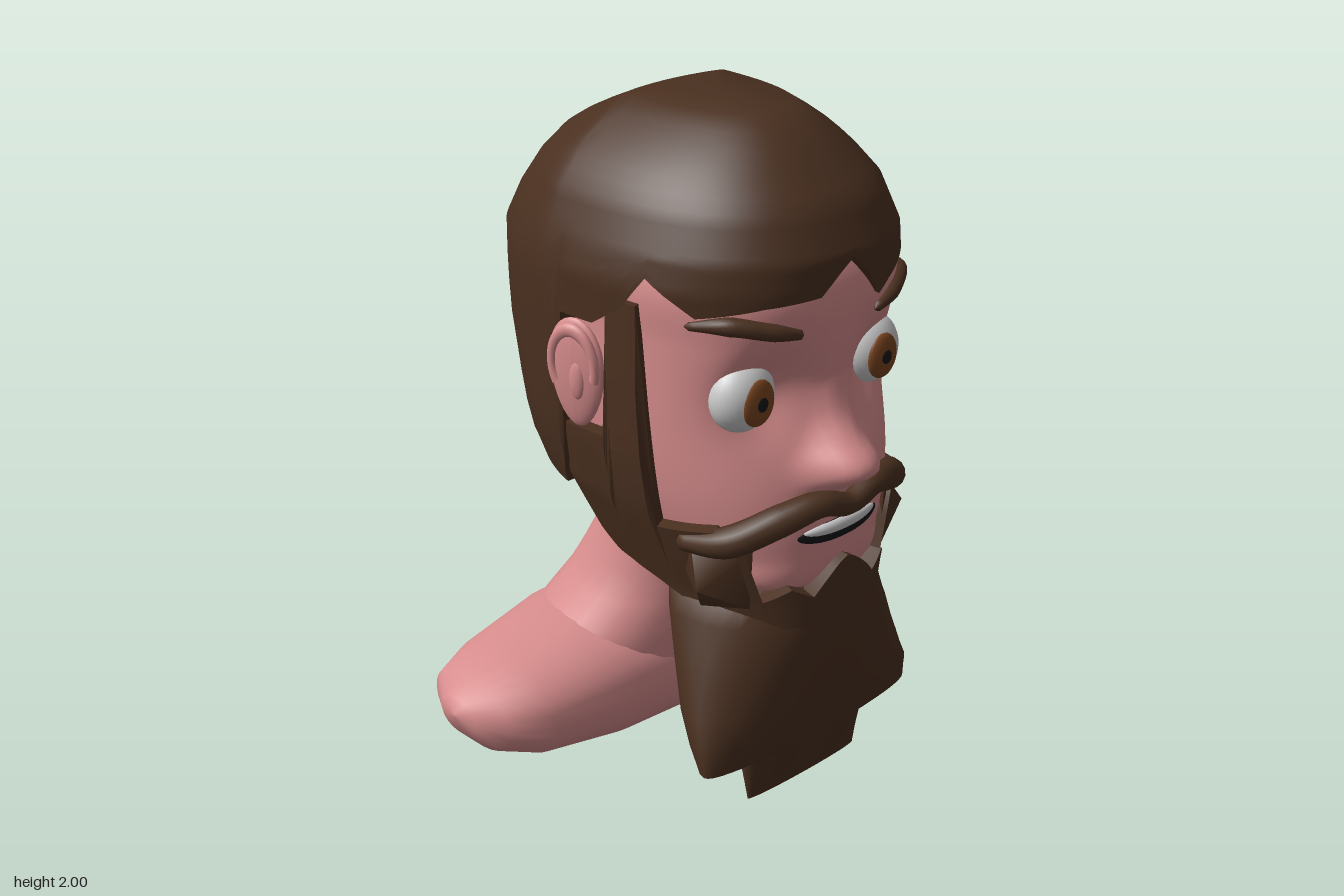
import * as THREE from 'three';
import { toCreasedNormals } from 'three/addons/utils/BufferGeometryUtils.js';
import { ConvexGeometry } from 'three/addons/geometries/ConvexGeometry.js';

const mat = (color) => new THREE.MeshStandardMaterial({ color, side: THREE.DoubleSide });
const skin = mat(0xd98e8e), hairMat = mat(0x4a3020), white = mat(0xdcdcdc);
const brown = mat(0x7a4520), black = mat(0x151515);
const RAD = Math.PI / 180;

// Interpolates the rows of a table keyed by its first column.
function sample(t, key, smooth = false) {
  let i = 0;
  while (i < t.length - 2 && key > t[i + 1][0]) i++;
  const a = t[i], b = t[i + 1], h = b[0] - a[0];
  const s = THREE.MathUtils.clamp((key - a[0]) / h, 0, 1);
  const slope = (n, k) => {
    const p = t[Math.max(n - 1, 0)], q = t[Math.min(n + 1, t.length - 1)];
    return (q[k] - p[k]) / (q[0] - p[0]);
  };
  return a.map((_, k) => {
    if (!smooth) return a[k] + (b[k] - a[k]) * s;
    const s2 = s * s, s3 = s2 * s;
    return (2 * s3 - 3 * s2 + 1) * a[k] + (s3 - 2 * s2 + s) * h * slope(i, k)
      + (3 * s2 - 2 * s3) * b[k] + (s3 - s2) * h * slope(i + 1, k);
  });
}

// Surface from a grid of points; u runs round, v runs along.
function grid(nu, nv, point, wrap = true) {
  const cols = wrap ? nu : nu + 1, pos = [], idx = [];
  for (let j = 0; j <= nv; j++)
    for (let i = 0; i < cols; i++) pos.push(...point(i / nu, j));
  for (let j = 0; j < nv; j++)
    for (let i = 0; i < nu; i++) {
      const i2 = wrap ? (i + 1) % nu : i + 1;
      const a = j * cols + i, b = j * cols + i2, c = b + cols, d = a + cols;
      idx.push(a, b, c, a, c, d);
    }
  const g = new THREE.BufferGeometry();
  g.setAttribute('position', new THREE.Float32BufferAttribute(pos, 3));
  g.setIndex(idx);
  g.computeVertexNormals();
  return g;
}

// Point on a horizontal section [y, halfWidth, zFront, zBack] at angle a from the front;
// c is the z of its widest line.
function onSection([y, rx, zf, zb], a, c, p) {
  const pw = (n) => Math.sign(n) * Math.abs(n) ** (2 / p);
  const cs = pw(Math.cos(a));
  return [rx * pw(Math.sin(a)), y, c + (cs > 0 ? zf - c : c - zb) * cs];
}

// Closed stack of horizontal sections; a fifth column may give the z of the widest line.
function tower(sections, nu, p, adjust = (q) => q) {
  const n = sections.length;
  return grid(nu, n + 1, (u, j) => {
    const s = sections[THREE.MathUtils.clamp(j - 1, 0, n - 1)];
    const c = s[4] ?? (s[2] + s[3]) / 2;
    if (j === 0 || j === n + 1) return [0, s[0], (s[2] + s[3]) / 2];
    return adjust(onSection(s, u * Math.PI * 2, c, p));
  });
}

// Tapered strand along points [x, y, z, radius].
function strand(pts, steps) {
  const curve = new THREE.CatmullRomCurve3(pts.map((q) => new THREE.Vector3(q[0], q[1], q[2])));
  const radii = pts.map((q, i) => [i / (pts.length - 1), q[3]]);
  return grid(14, steps, (u, j) => {
    const t = j / steps, T = curve.getTangent(t);
    const B = new THREE.Vector3(0, 0, 1).addScaledVector(T, -T.z).normalize();
    const N = B.clone().cross(T);
    const r = j === 0 || j === steps ? 0 : sample(radii, t)[1], f = u * Math.PI * 2;
    return curve.getPoint(t).addScaledVector(N, r * Math.cos(f)).addScaledVector(B, r * Math.sin(f)).toArray();
  });
}

const HEAD = [[.7, .2, .5, .3], [.74, .3, .545, .2], [.85, .345, .565, 0], [1, .385, .56, -.1],
  [1.2, .41, .53, -.3], [1.45, .422, .545, -.35], [1.6, .43, .535, -.35], [1.78, .37, .44, -.3]];
const NOSE = [[1, 0, .06], [1.03, .045, .1], [1.07, .11, .105], [1.11, .115, .1], [1.16, .075, .075],
  [1.22, .038, .055], [1.32, 0, .06]];
const HEAD_C = .05, HEAD_P = 2.6;

// Nose bump and eye sockets.
function relief(x, y) {
  const [, h, w] = sample(NOSE, y, true), ax = Math.abs(x);
  return h * Math.exp(-((ax / w) ** 2.8)) - .085 * Math.exp(-(((ax - .19) / .11) ** 2) - ((y - 1.3) / .125) ** 2);
}
function faceZ(x, y) {
  const [, rx, zf] = sample(HEAD, y, true);
  return HEAD_C + (zf - HEAD_C) * Math.max(0, 1 - Math.abs(x / rx) ** HEAD_P) ** (1 / HEAD_P) + relief(x, y);
}

// Flattened ellipsoid bent to follow the face.
function facePatch(x, y, rx, ry, rz) {
  const g = new THREE.SphereGeometry(1, 32, 16).scale(rx, ry, rz).translate(x, y, 0);
  const p = g.attributes.position;
  for (let i = 0; i < p.count; i++) p.setZ(i, p.getZ(i) + faceZ(p.getX(i), p.getY(i)));
  g.computeVertexNormals();
  return g;
}

export function createModel() {
  const root = new THREE.Group();
  const add = (name, geo, material, parent = root) => {
    const m = new THREE.Mesh(geo, material);
    m.name = name;
    parent.add(m);
    return m;
  };
  const ball = (rx, ry, rz) => new THREE.SphereGeometry(1, 28, 18).scale(rx, ry, rz);

  // Shoulders: sections along x as [x, yLow, yHigh, zFront, zBack]
  const half = [[0, .005, .46, .05, -.515], [.3, .025, .45, .05, -.5], [.6, .1, .405, .04, -.43],
    [.73, .16, .375, -.01, -.36], [.785, .22, .33, -.1, -.26], [.8, .28, .28, -.18, -.18]];
  const span = [...half.slice(1).reverse().map(([x, ...r]) => [-x, ...r]), ...half];
  add('shoulders', grid(28, span.length - 1, (u, j) => {
    const [x, y0, y1, zf, zb] = span[j], a = u * Math.PI * 2;
    const pw = (n) => Math.sign(n) * Math.abs(n) ** .9;
    return [x, (y0 + y1) / 2 + (y1 - y0) / 2 * pw(Math.cos(a)), (zf + zb) / 2 + (zf - zb) / 2 * pw(Math.sin(a))];
  }), skin);

  // Neck, leaning forward towards the head
  add('neck', tower([[.2, .46, .04, -.5], [.33, .45, .055, -.495], [.42, .39, .07, -.465], [.5, .315, .085, -.42],
    [.6, .275, .1, -.365], [.73, .25, .115, -.29], [.9, .235, .12, -.21], [1.1, .23, .1, -.2]], 32, 2.2), skin);

  // Head with nose
  const rows = Array.from({ length: 70 }, (_, i) => [...sample(HEAD, .7 + 1.08 * i / 69, true), HEAD_C]);
  rows.forEach((r) => { r[4] = Math.max(HEAD_C, r[3]); });
  add('head', tower(rows, 128, HEAD_P, ([x, y, z]) => [x, y, z > HEAD_C ? z + relief(x, y) : z]), skin);

  // Hair cap with a jagged lower edge given as [degrees from front, y]
  const HAIR = [[.84, .37, .5, -.45], [.97, .425, .5, -.57], [1.1, .45, .52, -.61], [1.36, .47, .54, -.66],
    [1.6, .482, .57, -.65], [1.68, .46, .575, -.605], [1.8, .41, .525, -.5], [1.88, .345, .45, -.41],
    [1.95, .26, .38, -.26], [2, .18, .3, -.13]];
  const FRINGE = [[-63, 1.63], [-48, 1.54], [-27, 1.57], [-9, 1.58], [0, 1.67], [12, 1.53], [18, 1.56], [36, 1.61],
    [51, 1.59], [63, 1.63]];
  const SIDES = [[63, 1.63], [69, 1.54], [78, 1.47], [87, 1.47], [90, 1], [96, .91], [120, .93], [135, .84],
    [150, .92], [180, .97]];
  const LOW = 10, HR = 20, BAND = 1.7;
  add('hair', toCreasedNormals(grid(120, HR, (u, j) => {
    const deg = u > .5 ? u * 360 - 360 : u * 360;
    const low = (Math.abs(deg) < 63 ? sample(FRINGE, deg) : sample(SIDES, Math.abs(deg)))[1];
    if (j === HR) return [0, 2, .08];
    const y = j <= LOW ? low + (BAND - low) * Math.max(0, j - 1) / (LOW - 1)
      : BAND + (2 - BAND) * (j - LOW) / (HR - 1 - LOW);
    const q = onSection(sample(HAIR, y), deg * RAD, -.1, Math.abs(deg) < 90 ? 2.4 : 1.7);
    if (j > 0) return q;
    const k = low < 1.2 ? .3 : .87;
    return [q[0] * k, low + .02, -.1 + (q[2] + .1) * k];
  }), .8), hairMat);

  // Jaw beard and sideburns: a shell around the face between two edge lines
  const JAW = [[.6, .32, .582, .06], [.7, .34, .587, -.1], [.8, .375, .588, -.2], [.95, .425, .588, -.3],
    [1.1, .448, .58, -.3], [1.3, .455, .56, -.3], [1.55, .452, .56, -.3]];
  const TOP = [[0, .81], [14, .715], [24, .75], [38, .71], [42, .89], [50, .94], [74, .91], [76, 1.55], [86, 1.55],
    [88, 1.14], [112, 1.12]];
  const BOTTOM = [[0, .62], [60, .63], [86, .72], [100, .8], [112, .95]];
  const JR = 16;
  add('jawBeard', toCreasedNormals(grid(112, JR, (u, j) => {
    const deg = -112 + 224 * u, ad = Math.abs(deg);
    const y0 = sample(BOTTOM, ad)[1], y1 = sample(TOP, ad)[1];
    const t = THREE.MathUtils.clamp((j - 1) / (JR - 2), 0, 1);
    const [x, y, z] = onSection(sample(JAW, y0 + (y1 - y0) * t), deg * RAD, HEAD_C, HEAD_P);
    const k = j === 0 || j === JR ? .89 : 1;
    return [x * k, y, HEAD_C + (z - HEAD_C) * k];
  }, false), .8), hairMat);

  // Long wedge beard: side edges swing forward towards a narrow tongue at the bottom
  add('longBeard', toCreasedNormals(tower([[.03, .22, .445, .415, .43], [.19, .24, .505, .31, .43],
    [.2, .41, .505, .31, .45], [.27, .42, .525, .26, .44], [.36, .405, .545, .2, .39], [.5, .375, .565, .17, .32],
    [.62, .34, .58, .14, .25], [.7, .315, .578, .12, .22], [.76, .26, .45, .13, .2]], 40, 2.1), .7), hairMat);

  // Moustache, its ends following the lower edge of the cheeks
  const side = [[.1, .995, .575, .038], [.21, .965, .53, .046], [.32, .905, .44, .045], [.375, .88, .3, .025]];
  add('moustache', strand([...side.slice().reverse().map(([x, ...r]) => [-x, ...r]), [0, .968, .585, .032], ...side], 60), hairMat);

  // Mouth and upper teeth
  add('mouth', facePatch(0, .893, .155, .032, .01), black);
  add('teeth', facePatch(0, .904, .14, .02, .016), white);

  for (const s of [1, -1]) {
    const sideName = s > 0 ? 'left' : 'right';

    // Flared tuft at the jaw corner
    add(sideName + 'Tuft', toCreasedNormals(new ConvexGeometry([[.28, .92, .46], [.36, .89, .34], [.41, .78, .42],
      [.33, .68, .35], [.26, .69, .47], [.26, .87, .48], [.32, .78, .26]].map(([x, y, z]) => new THREE.Vector3(s * x, y, z))), 1), hairMat);

    // Eye
    const eye = new THREE.Group();
    eye.name = sideName + 'Eye';
    eye.position.set(s * .243, 1.305, .412);
    add('eyeball', ball(.1, .103, .075), white, eye);
    add('iris', ball(.056, .066, .02), brown, eye).position.set(-s * .004, -.007, .06);
    add('pupil', ball(.023, .025, .01), black, eye).position.set(-s * .004, -.007, .073);
    root.add(eye);

    // Eyebrow
    add(sideName + 'Eyebrow', strand([[.135, 1.478, .012], [.22, 1.5, .024], [.32, 1.525, .026], [.385, 1.515, .01]]
      .map(([x, y, r]) => [s * x, y, faceZ(x, y) + .005, r]), 24), hairMat);

    // Ear with raised rim and inner fold, narrowing to the lobe
    const ear = new THREE.Group();
    ear.name = sideName + 'Ear';
    ear.position.set(s * .462, 1.305, .005);
    ear.rotation.set(.06, -s * .25, -s * .08);
    const body = ball(.028, .165, .097), p = body.attributes.position;
    for (let i = 0; i < p.count; i++) p.setZ(i, p.getZ(i) * (.9 + p.getY(i) * .9));
    body.computeVertexNormals();
    add('earBody', body, skin, ear);
    const rim = new THREE.TorusGeometry(.07, .014, 10, 32, Math.PI * 1.3).rotateZ(-.3).rotateY(s * Math.PI / 2);
    add('earRim', rim.scale(1, 1.5, 1), skin, ear).position.set(s * .016, .03, 0);
    add('earFold', ball(.015, .06, .025), skin, ear).position.set(s * .02, -.01, .015);
    root.add(ear);
  }
  return root;
}
